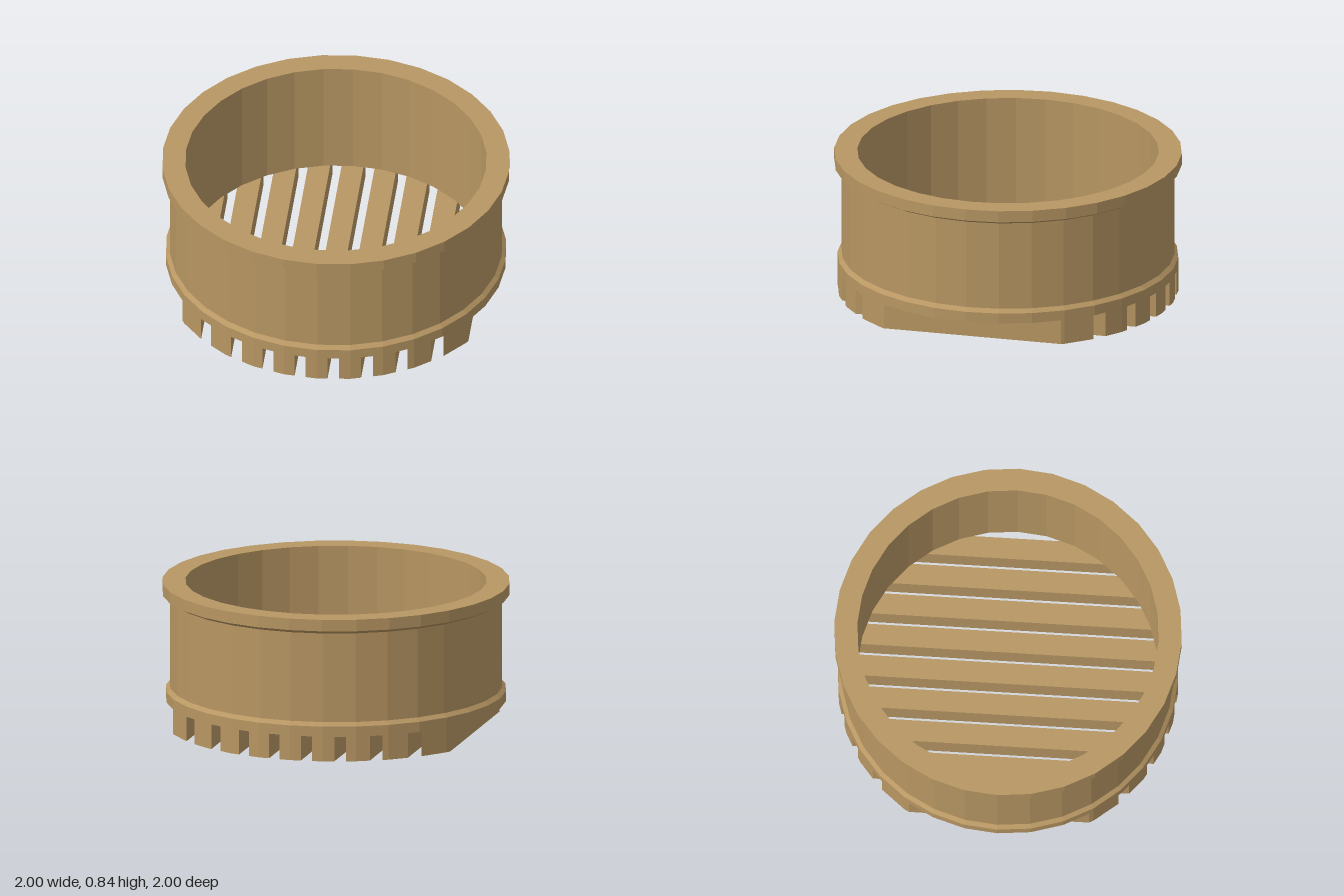
import * as THREE from 'three';

const SIDES = 32;
const FOOT_RADIUS = 0.98;
const BAR_HEIGHT = 0.145;

// Half depth of the 32-sided foot outline at a given x
function outlineZ(x) {
  const step = (2 * Math.PI) / SIDES;
  const i = Math.floor(Math.asin(x / FOOT_RADIUS) / step + 1e-6);
  // start one facet early, as chords lie inside the circle
  for (let k = i - 1; k <= i + 1; k++) {
    const xa = FOOT_RADIUS * Math.sin(k * step);
    const xb = FOOT_RADIUS * Math.sin((k + 1) * step);
    if (x >= xa - 1e-9 && x <= xb + 1e-9) {
      const t = (x - xa) / (xb - xa);
      return FOOT_RADIUS * ((1 - t) * Math.cos(k * step) + t * Math.cos((k + 1) * step));
    }
  }
  return 0;
}

// One grate bar, its ends cut to the foot outline
function barGeometry(x0, x1) {
  const xs = [x0];
  for (let k = -SIDES / 4; k <= SIDES / 4; k++) {
    const x = FOOT_RADIUS * Math.sin((k * 2 * Math.PI) / SIDES);
    if (x > x0 + 1e-4 && x < x1 - 1e-4) xs.push(x);
  }
  xs.push(x1);
  const near = xs.map((x) => new THREE.Vector2(x, -outlineZ(x)));
  const far = xs.map((x) => new THREE.Vector2(x, outlineZ(x))).reverse();
  const geometry = new THREE.ExtrudeGeometry(new THREE.Shape([...near, ...far]), {
    depth: BAR_HEIGHT,
    bevelEnabled: false,
  });
  return geometry.rotateX(-Math.PI / 2);
}

export function createModel() {
  const model = new THREE.Group();
  model.name = 'grateCup';
  const tan = new THREE.MeshStandardMaterial({ color: 0xb89763 });
  tan.name = 'tan';

  // Faceted wall: foot band, straight body, flared rim, plain bore
  const profile = [
    [0.867, 0.145], [0.98, 0.145], [0.98, 0.205], [0.958, 0.227],
    [0.958, 0.75], [1, 0.772], [1, 0.84], [0.867, 0.84], [0.867, 0.145],
  ].map(([r, y]) => new THREE.Vector2(r, y));
  const wallGeometry = new THREE.LatheGeometry(profile, SIDES).toNonIndexed();
  wallGeometry.computeVertexNormals();
  const wall = new THREE.Mesh(wallGeometry, tan);
  wall.name = 'ringWall';
  model.add(wall);

  // Nine parallel bars across the bottom
  const grate = new THREE.Group();
  grate.name = 'grate';
  for (let i = -4; i <= 4; i++) {
    const centre = i * 0.191 - 0.002;
    const bar = new THREE.Mesh(barGeometry(centre - 0.063, centre + 0.063), tan);
    bar.name = 'grateBar';
    grate.add(bar);
  }
  model.add(grate);
  return model;
}
